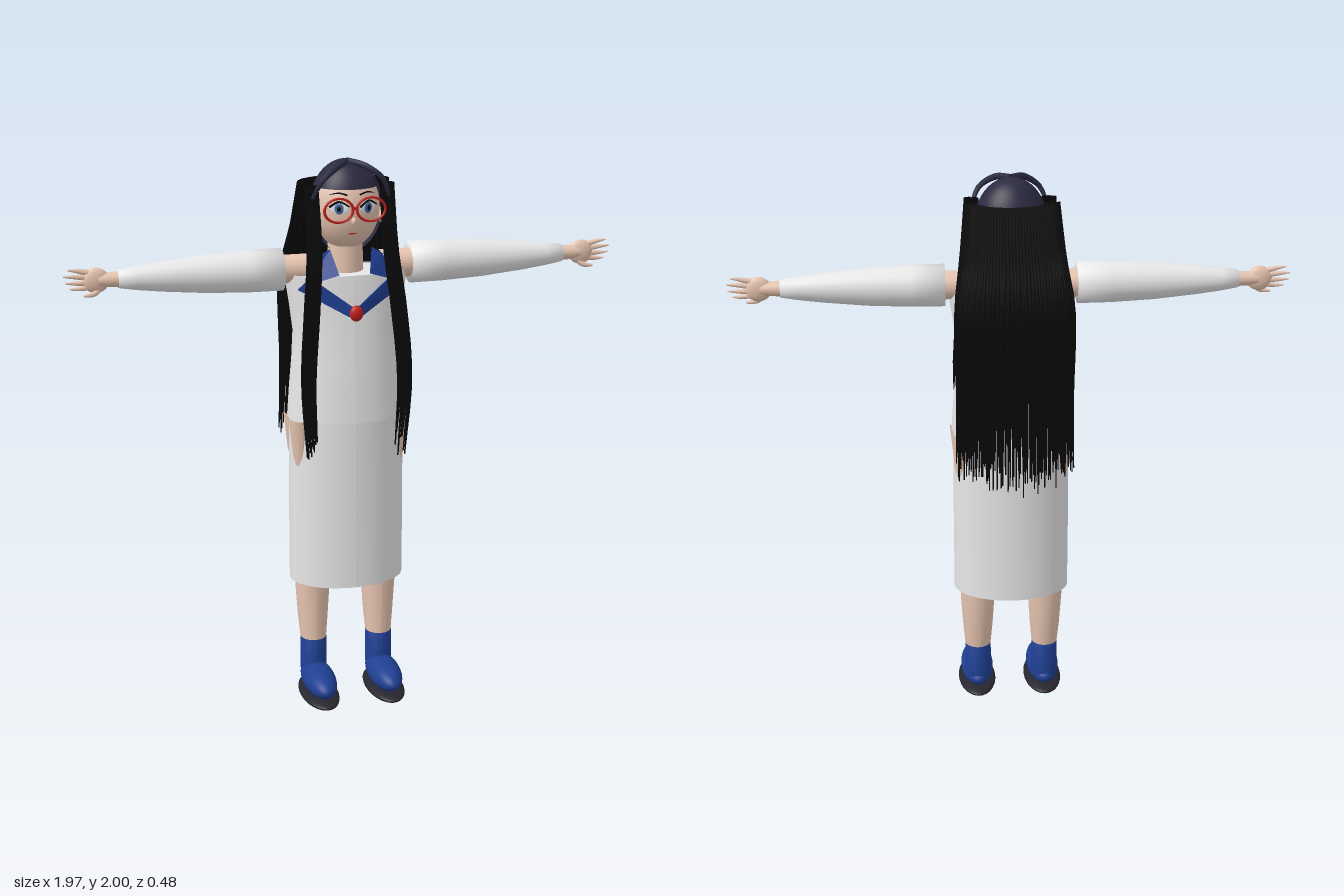
import * as THREE from 'three';

const mat = (name, color, side = THREE.FrontSide) => {
  const m = new THREE.MeshStandardMaterial({ color, side });
  m.name = name;
  return m;
};

// Elliptical loft from rings [y, half width, half depth, optional z offset], bottom to top
function loft(rings, segments = 40) {
  const g = new THREE.LatheGeometry(rings.map(r => new THREE.Vector2(r[1], r[0])), segments);
  const p = g.attributes.position;
  for (let i = 0; i < p.count; i++) {
    const [, rx, rz, dz = 0] = rings[i % rings.length];
    p.setZ(i, p.getZ(i) * (rx > 0 ? rz / rx : 1) + dz);
  }
  g.computeVertexNormals();
  return g;
}

// Tube along a smooth path whose radius shrinks from r to r * tip
function strand(points, r, tip = 0.2, sides = 4, steps = 12) {
  const curve = new THREE.CatmullRomCurve3(points.map(p => new THREE.Vector3(...p)));
  const g = new THREE.TubeGeometry(curve, steps, r, sides, false);
  const p = g.attributes.position, v = new THREE.Vector3();
  for (let i = 0; i < p.count; i++) {
    const t = Math.floor(i / (sides + 1)) / steps;
    const c = curve.getPointAt(t);
    v.fromBufferAttribute(p, i).sub(c).multiplyScalar(1 - (1 - tip) * t * t).add(c);
    p.setXYZ(i, v.x, v.y, v.z);
  }
  return g;
}

function seeded(seed) {
  return () => (seed = (seed * 16807) % 2147483647) / 2147483647;
}

export function createModel() {
  const skin = mat('skin', 0xe6c4b0);
  const white = mat('white cloth', 0xebebeb, THREE.DoubleSide);
  const blue = mat('blue cloth', 0x1f3f92, THREE.DoubleSide);
  const navy = mat('navy hair', 0x2b2a40, THREE.DoubleSide);
  const black = mat('black hair', 0x080808, THREE.DoubleSide);
  const red = mat('red', 0xc0201c);
  const sole = mat('dark sole', 0x27262e);
  const iris = mat('iris blue', 0x4468a8);

  const root = new THREE.Group();
  root.name = 'girl';
  const add = (name, geo, material, pos = [0, 0, 0], parent = root) => {
    const m = new THREE.Mesh(geo, material);
    m.name = name;
    m.position.set(...pos);
    parent.add(m);
    return m;
  };
  const ball = (name, material, pos, size, parent = root) => {
    const m = add(name, new THREE.SphereGeometry(1, 32, 20), material, pos, parent);
    m.scale.set(...size);
    return m;
  };
  const group = name => {
    const g = new THREE.Group();
    g.name = name;
    root.add(g);
    return g;
  };

  // Dress
  add('blouse', loft([
    [1.085, 0.214, 0.147], [1.2, 0.206, 0.14], [1.3, 0.197, 0.132], [1.4, 0.192, 0.122],
    [1.5, 0.205, 0.114], [1.58, 0.218, 0.108], [1.61, 0.222, 0.104]]), white);
  add('shoulder top', loft([[1.605, 0.222, 0.104], [1.612, 0, 0]]), white);
  add('skirt', loft([[0.46, 0.21, 0.148], [0.75, 0.21, 0.148], [1.09, 0.208, 0.146]]), white);
  add('neck', new THREE.CylinderGeometry(0.06, 0.065, 0.16, 24), skin, [0, 1.65, -0.01]);

  // Collar panels, bent back round the chest
  const panel = (name, pts, s) => {
    const shape = new THREE.Shape(pts.map(([x, y]) => new THREE.Vector2(x * s, y)));
    const g = new THREE.ExtrudeGeometry(shape, { depth: 0.008, bevelEnabled: false });
    const p = g.attributes.position;
    for (let i = 0; i < p.count; i++) {
      const x = p.getX(i), y = p.getY(i);
      p.setZ(i, p.getZ(i) + 0.137 - 1.8 * x * x - Math.max(0, y - 1.6) * 0.6);
    }
    g.computeVertexNormals();
    add(name, g, blue);
  };
  for (const s of [1, -1]) {
    panel('collarFront', [[0, 1.46], [0.19, 1.565], [0.15, 1.61], [0, 1.5]], s);
    panel('collarFlap', [[0.055, 1.62], [0.17, 1.58], [0.11, 1.68], [0.075, 1.7]], s);
  }
  ball('brooch', red, [0, 1.487, 0.148], [0.024, 0.028, 0.016]);

  for (const s of [1, -1]) {
    // Arm with sleeve, wrist and hand
    const arm = group(s > 0 ? 'leftArm' : 'rightArm');
    const along = (name, pts, material) => {
      const m = add(name, new THREE.LatheGeometry(pts.map(p => new THREE.Vector2(p[1], p[0])), 32),
        material, [0, 1.623, 0], arm);
      m.rotation.z = -s * Math.PI / 2;
    };
    along('sleeve', [[0.23, 0], [0.231, 0.074], [0.35, 0.073], [0.5, 0.066], [0.65, 0.052],
      [0.74, 0.041], [0.8, 0.031], [0.801, 0]], white);
    along('shoulder', [[0.12, 0.05], [0.24, 0.05]], skin);
    along('wrist', [[0.79, 0.027], [0.84, 0.025], [0.87, 0.022]], skin);
    ball('palm', skin, [s * 0.875, 1.623, 0], [0.046, 0.044, 0.02], arm);
    [[0.035, 0.97], [0.014, 0.985], [-0.008, 0.98], [-0.028, 0.965]].forEach(([dy, x]) =>
      add('finger', strand([[s * 0.885, 1.623 + dy * 0.7, 0], [s * 0.94, 1.624 + dy, 0],
        [s * x, 1.626 + dy * 1.05, 0]], 0.011, 0.2, 8), skin, [0, 0, 0], arm));
    add('thumb', strand([[s * 0.86, 1.6, 0], [s * 0.885, 1.578, 0.008], [s * 0.92, 1.572, 0.01]],
      0.012, 0.3, 8), skin, [0, 0, 0], arm);

    // Leg, sock and shoe
    const leg = group(s > 0 ? 'leftLeg' : 'rightLeg');
    add('shin', loft([[0.2, 0.046, 0.05], [0.3, 0.055, 0.058, -0.008], [0.42, 0.063, 0.062, -0.01],
      [0.6, 0.066, 0.064, -0.01]], 28), skin, [s * 0.125, 0, 0], leg);
    for (const z of [0.045, -0.045])
      add('hip', loft([[0.85, 0.003, 0.005], [0.95, 0.028, 0.03], [1.088, 0.042, 0.048]], 20),
        skin, [s * 0.176 + s * 0.001, 0, z], leg).rotation.z = 0;
    add('sock', loft([[0.09, 0.049, 0.055], [0.22, 0.048, 0.054], [0.222, 0, 0]], 28), blue,
      [s * 0.125, 0, 0], leg);
    ball('shoe', blue, [s * 0.125, 0.08, 0.082], [0.06, 0.051, 0.146], leg);
    ball('sole', sole, [s * 0.125, 0.025, 0.082], [0.07, 0.022, 0.154], leg);
  }

  // Head and hair cap
  ball('face', skin, [0, 1.835, 0], [0.118, 0.15, 0.112]);
  const cap = (name, ...arc) =>
    add(name, new THREE.SphereGeometry(1, 40, 24, ...arc), navy, [0, 1.835, 0])
      .scale.set(0.128, 0.165, 0.116);
  cap('hairBack', Math.PI - 0.3, Math.PI + 0.6, 0, 2.75);
  cap('fringe', 0, Math.PI * 2, 0, 1.1);

  for (const s of [1, -1]) {
    // Ear, eye and glasses
    ball('ear', skin, [s * 0.126, 1.8, 0.005], [0.014, 0.028, 0.02]);
    const eye = group(s > 0 ? 'leftEye' : 'rightEye');
    eye.position.set(s * 0.05, 1.848, 0.105);
    eye.rotation.y = s * 0.4;
    ball('eyeWhite', white, [0, 0, 0], [0.033, 0.021, 0.004], eye);
    ball('iris', iris, [0, 0, 0.003], [0.016, 0.019, 0.004], eye);
    ball('pupil', black, [0, 0, 0.006], [0.007, 0.01, 0.003], eye);
    add('lash', strand([[-0.034, 0.005, 0.004], [0, 0.024, 0.006], [0.036, 0.008, 0.004]],
      0.004, 0.6), black, [0, 0, 0], eye);
    add('eyebrow', strand([[s * 0.022, 1.893, 0.108], [s * 0.05, 1.9, 0.1], [s * 0.08, 1.893, 0.082]],
      0.003), black);
    add('glassesRim', new THREE.TorusGeometry(0.05, 0.005, 8, 36), red, [s * 0.057, 1.845, 0.126])
      .scale.set(1, 0.82, 1);
    // Loose arcs over the brow
    add('browLock', strand([[0, 1.995, 0.02], [s * 0.05, 1.985, 0.075], [s * 0.105, 1.945, 0.095],
      [s * 0.135, 1.88, 0.07]], 0.012, 0.5, 8), navy);
  }
  add('glassesBridge', new THREE.BoxGeometry(0.02, 0.008, 0.008), red, [0, 1.85, 0.126]);
  ball('nose', skin, [0, 1.802, 0.11], [0.009, 0.014, 0.012]);
  add('mouth', new THREE.BoxGeometry(0.028, 0.004, 0.008), red, [0, 1.757, 0.094]);

  // Long back hair: rows of strands fanned round the back of the head
  const rnd = seeded(7);
  const back = group('backHair');
  const rows = 3, count = 46;
  for (let k = 0; k < rows; k++) for (let i = 0; i < count; i++) {
    const a = ((i + k / rows) / (count - 0.3) * 2 - 1) * 1.45;
    const f = 1 - k * 0.1, sx = Math.sin(a) * f, cz = Math.cos(a) * f;
    const end = 0.98 - 0.08 * cz + rnd() * 0.08 + k * 0.03;
    const x = sx * 0.205 + (rnd() - 0.5) * 0.01;
    add('strand', strand([[sx * 0.16, 1.92, -0.02 - 0.1 * cz], [sx * 0.178, 1.75, -0.07 - 0.105 * cz],
      [x, 1.58, -0.13 - 0.1 * cz], [x, 1.25, -0.14 - 0.09 * cz], [x * 1.03, end, -0.15 - 0.08 * cz]],
      0.0075, 0.25), black, [0, 0, 0], back);
  }

  // Long front locks
  for (const s of [1, -1]) {
    const lock = group(s > 0 ? 'leftLock' : 'rightLock');
    for (let i = 0; i < 8; i++) {
      const u = i / 7 - 0.5, w = rnd() - 0.5;
      add('strand', strand([[s * (0.135 + u * 0.036), 1.92, 0.04 + w * 0.02],
        [s * (0.136 + u * 0.04), 1.7, 0.095 + w * 0.015],
        [s * (0.155 + u * 0.045), 1.5, 0.135 + w * 0.012],
        [s * (0.173 + u * 0.045), 1.25, 0.156 + w * 0.008],
        [s * (0.16 + u * 0.035), 0.95 + rnd() * 0.1, 0.151]], 0.0075, 0.35), black, [0, 0, 0], lock);
    }
  }
  return root;
}
